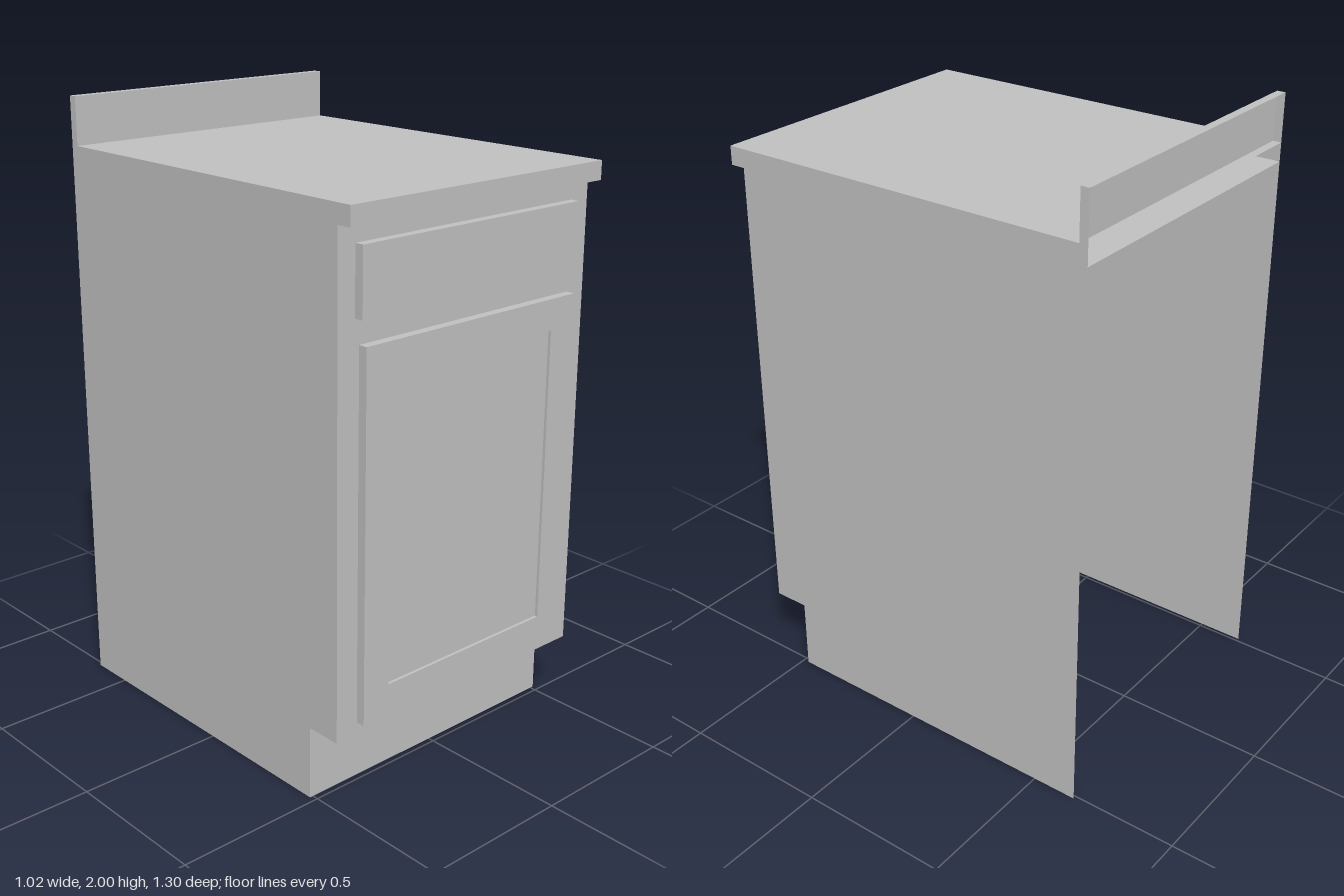
import * as THREE from 'three';

const HALF_W = 0.512, BACK = -0.65, FACE = 0.6, KICK_Z = 0.48, KICK_Y = 0.24;
const BODY_TOP = 1.785, COUNTER_TOP = 1.845;

export function createModel() {
  const group = new THREE.Group();
  const grey = new THREE.MeshStandardMaterial({ color: 0xc0c0c0, side: THREE.DoubleSide });
  grey.name = 'plainGrey';

  const add = (name, geometry, x = 0, y = 0, z = 0) => {
    const mesh = new THREE.Mesh(geometry, grey);
    mesh.name = name;
    mesh.position.set(x, y, z);
    group.add(mesh);
    return mesh;
  };

  // Box between two corners, left open at the back
  const openBox = (name, [x0, y0, z0], [x1, y1, z1]) => {
    const g = new THREE.BoxGeometry(x1 - x0, y1 - y0, z1 - z0);
    g.setIndex(Array.from(g.index.array).slice(0, 30));
    g.clearGroups();
    return add(name, g, (x0 + x1) / 2, (y0 + y1) / 2, (z0 + z1) / 2);
  };

  const rectangle = (Type, x0, y0, x1, y1) => new Type([
    [x0, y0], [x1, y0], [x1, y1], [x0, y1],
  ].map(([x, y]) => new THREE.Vector2(x, y)));

  // Side panels, notched for the toe space
  const sideShape = new THREE.Shape([
    [BACK, 0], [KICK_Z, 0], [KICK_Z, KICK_Y], [FACE, KICK_Y], [FACE, BODY_TOP], [BACK, BODY_TOP],
  ].map(([z, y]) => new THREE.Vector2(z, y)));
  for (const s of [-1, 1]) {
    const g = new THREE.ShapeGeometry(sideShape).rotateY(-Math.PI / 2);
    // The sheet faces -x, so turn the left one outward
    if (s > 0) {
      g.setIndex(Array.from(g.index.array).reverse());
      g.computeVertexNormals();
    }
    add(s > 0 ? 'leftSide' : 'rightSide', g, s * HALF_W);
  }

  // Front sheet, toe space ceiling and toe kick
  add('faceFrame', new THREE.PlaneGeometry(2 * HALF_W, BODY_TOP - KICK_Y), 0, (BODY_TOP + KICK_Y) / 2, FACE);
  add('toeSpaceCeiling', new THREE.PlaneGeometry(2 * HALF_W, FACE - KICK_Z).rotateX(Math.PI / 2),
    0, KICK_Y, (FACE + KICK_Z) / 2);
  add('toeKick', new THREE.PlaneGeometry(2 * HALF_W, KICK_Y), 0, KICK_Y / 2, KICK_Z);

  // Worktop and upstand, hollow from behind
  openBox('countertop', [-HALF_W, BODY_TOP, BACK], [HALF_W, COUNTER_TOP, 0.65]);
  openBox('backsplash', [-HALF_W, COUNTER_TOP, BACK], [HALF_W, 2, -0.622]);

  // Drawer front
  openBox('drawerFront', [-0.448, 1.52, FACE], [0.437, 1.728, 0.63]);

  // Door frame with a shallow recessed panel
  const frame = rectangle(THREE.Shape, -0.432, 0.28, 0.437, 1.443);
  frame.holes.push(rectangle(THREE.Path, -0.333, 0.382, 0.337, 1.345));
  add('doorFrame', new THREE.ExtrudeGeometry(frame, { depth: 0.03, bevelEnabled: false }), 0, 0, FACE);
  add('doorPanel', new THREE.PlaneGeometry(0.67, 0.963), 0.002, 0.8635, 0.62);

  return group;
}
